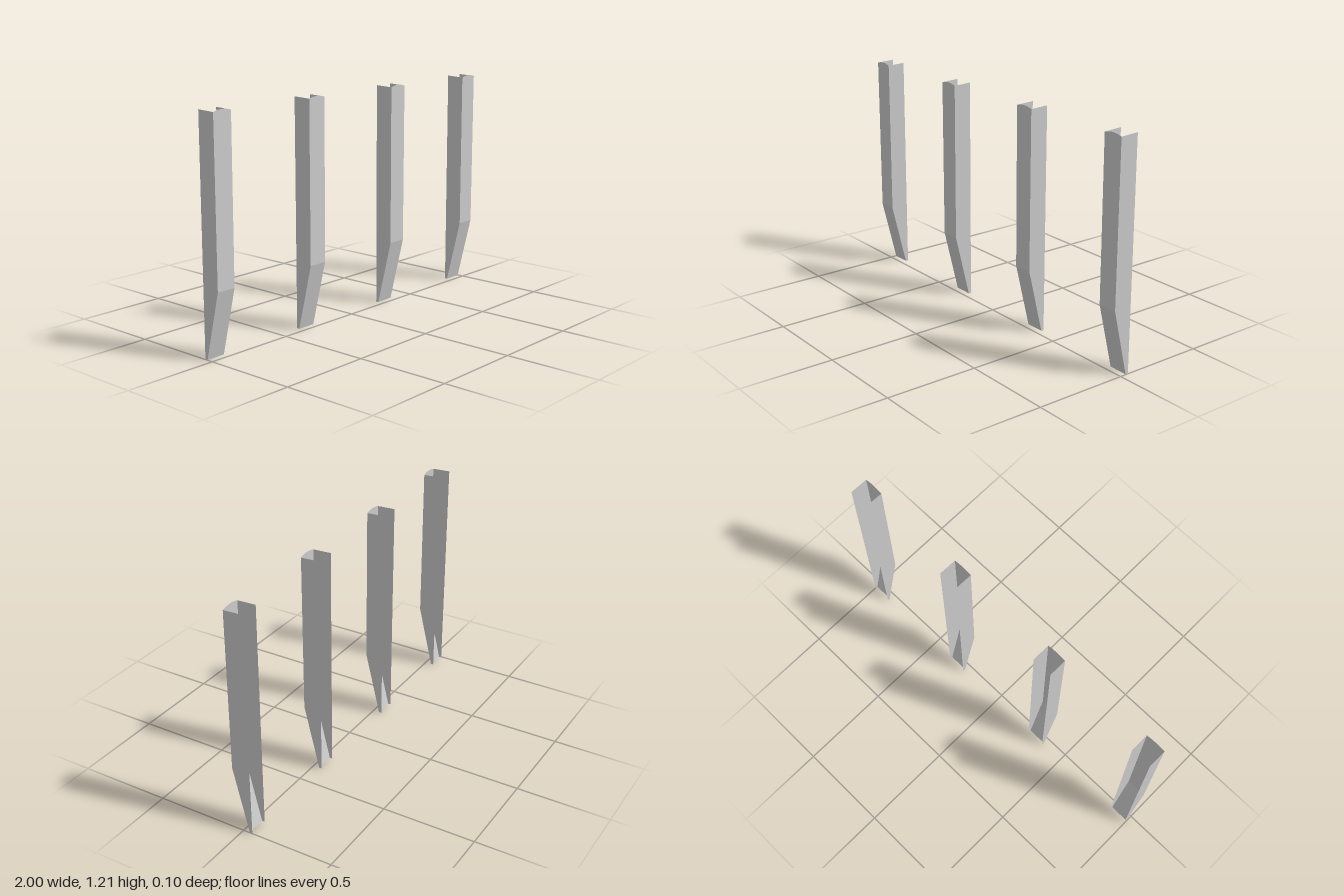
import * as THREE from 'three';

const FRONT = 0.05, BACK = -0.05, TOE = -0.035;
const TOP = 1.197, PEAK = 1.206, BEND = 0.35;

// half the width of a post, widening very slightly with height
const half = (y) => 0.0525 + 0.0025 * (y / TOP);

const material = new THREE.MeshStandardMaterial({
  color: 0xcccccc, side: THREE.DoubleSide, flatShading: true,
});

// flat outline of [u, y] points, each placed in space by a rule
function sheet(name, outline, place) {
  const shape = new THREE.Shape(outline.map(([u, y]) => new THREE.Vector2(u, y)));
  const geometry = new THREE.ShapeGeometry(shape);
  const pos = geometry.attributes.position;
  for (let i = 0; i < pos.count; i++) pos.setXYZ(i, ...place(pos.getX(i), pos.getY(i)));
  geometry.computeVertexNormals();
  const mesh = new THREE.Mesh(geometry, material);
  mesh.name = name;
  return mesh;
}

function createPost() {
  const post = new THREE.Group();
  post.name = 'post';

  // front panel with a shallow arched top
  const front = [[-half(BEND), BEND], [half(BEND), BEND]];
  const steps = 12;
  for (let i = 0; i <= steps; i++) {
    const t = 1 - (2 * i) / steps;
    front.push([t * half(TOP), TOP + (PEAK - TOP) * (1 - t * t)]);
  }
  post.add(sheet('frontPanel', front, (x, y) => [x, y, FRONT]));

  // sloping panel that runs back to the foot
  const slope = [[-half(0), 0], [half(0), 0], [half(BEND), BEND], [-half(BEND), BEND]];
  post.add(sheet('slopedFoot', slope,
    (x, y) => [x, y, THREE.MathUtils.lerp(TOE, FRONT, y / BEND)]));

  // two side flanges, leaving the back open
  const flange = [[BACK, 0], [TOE, 0], [FRONT, BEND], [FRONT, TOP], [BACK, TOP + 0.004]];
  for (const [name, s] of [['leftFlange', 1], ['rightFlange', -1]]) {
    post.add(sheet(name, flange, (z, y) => [s * half(y), y, z]));
  }
  return post;
}

export function createModel() {
  const model = new THREE.Group();
  model.name = 'posts';
  for (let i = 0; i < 4; i++) {
    const post = createPost();
    post.position.x = -0.945 + i * 0.63;
    model.add(post);
  }
  return model;
}
